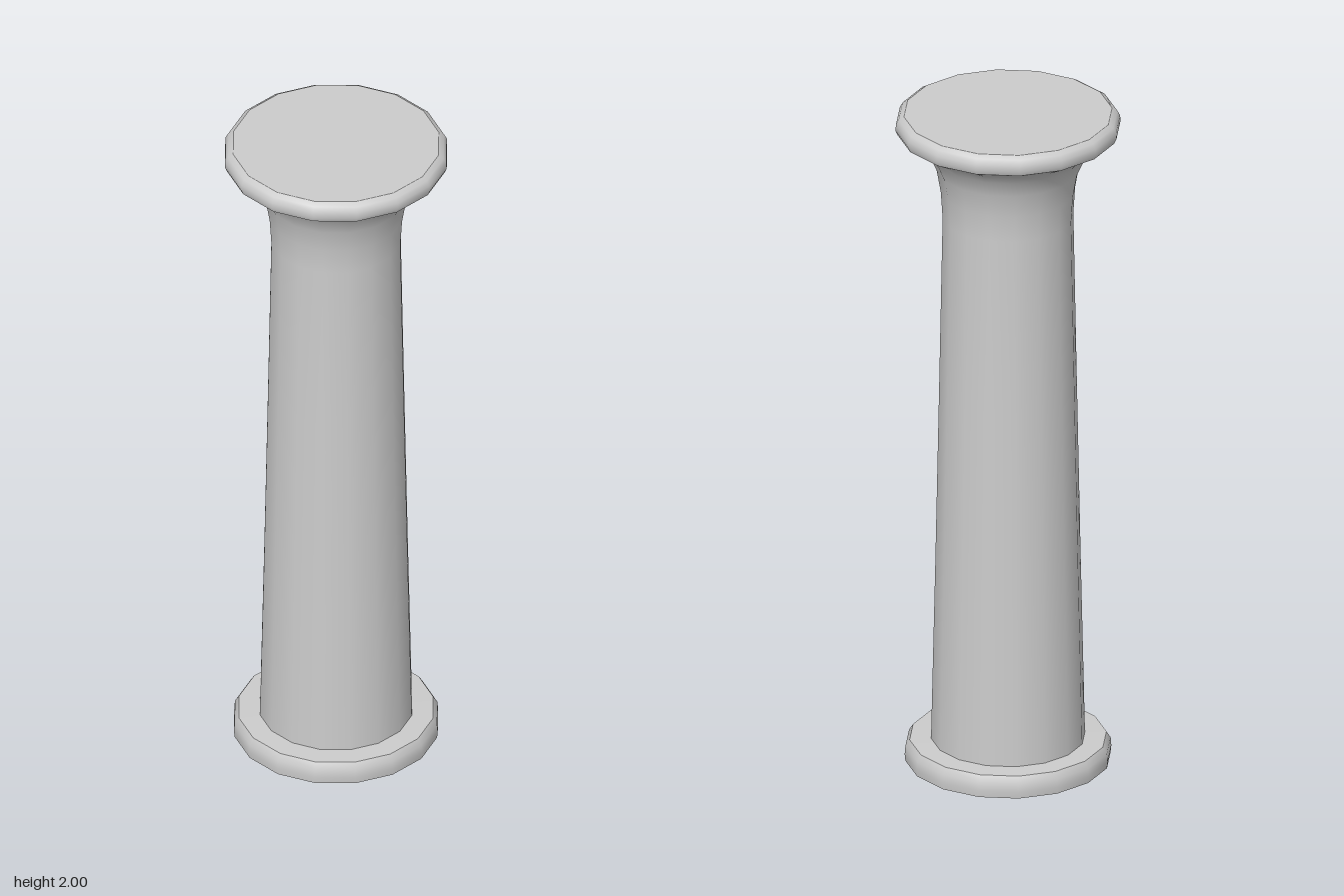
import * as THREE from 'three';

const SIDES = 16;
const material = new THREE.MeshStandardMaterial({ color: 0xcccccc });

// Ring of the column turned from [radius, height] pairs, listed bottom to top
function turned(name, profile) {
  const points = profile.map(([r, y]) => new THREE.Vector2(r, y));
  const mesh = new THREE.Mesh(new THREE.LatheGeometry(points, SIDES), material);
  mesh.name = name;
  return mesh;
}

// Flat end disc, facing up or down
function disc(name, radius, y, up) {
  const geometry = new THREE.CircleGeometry(radius, SIDES);
  geometry.rotateX(up ? -Math.PI / 2 : Math.PI / 2);
  const mesh = new THREE.Mesh(geometry, material);
  mesh.name = name;
  mesh.position.y = y;
  return mesh;
}

export function createModel() {
  const column = new THREE.Group();
  column.name = 'column';

  // Plinth with softened upper rim
  column.add(
    disc('plinthBottom', 0.292, 0, false),
    turned('plinthRim', [[0.292, 0], [0.294, 0.02], [0.292, 0.045], [0.28, 0.064]]),
    turned('plinthTop', [[0.28, 0.064], [0.215, 0.066]]),
  );

  // Tapered shaft sweeping out into the capital
  column.add(turned('shaft', [
    [0.219, 0.064], [0.207, 0.6], [0.196, 1.15], [0.186, 1.68],
    [0.191, 1.76], [0.203, 1.83], [0.225, 1.88], [0.25, 1.91], [0.314, 1.944],
  ]));

  // Rounded lip and flat top
  column.add(
    turned('capitalLip', [[0.314, 1.944], [0.32, 1.958], [0.319, 1.976], [0.311, 1.991], [0.296, 2]]),
    disc('capitalTop', 0.296, 2, true),
  );
  return column;
}
